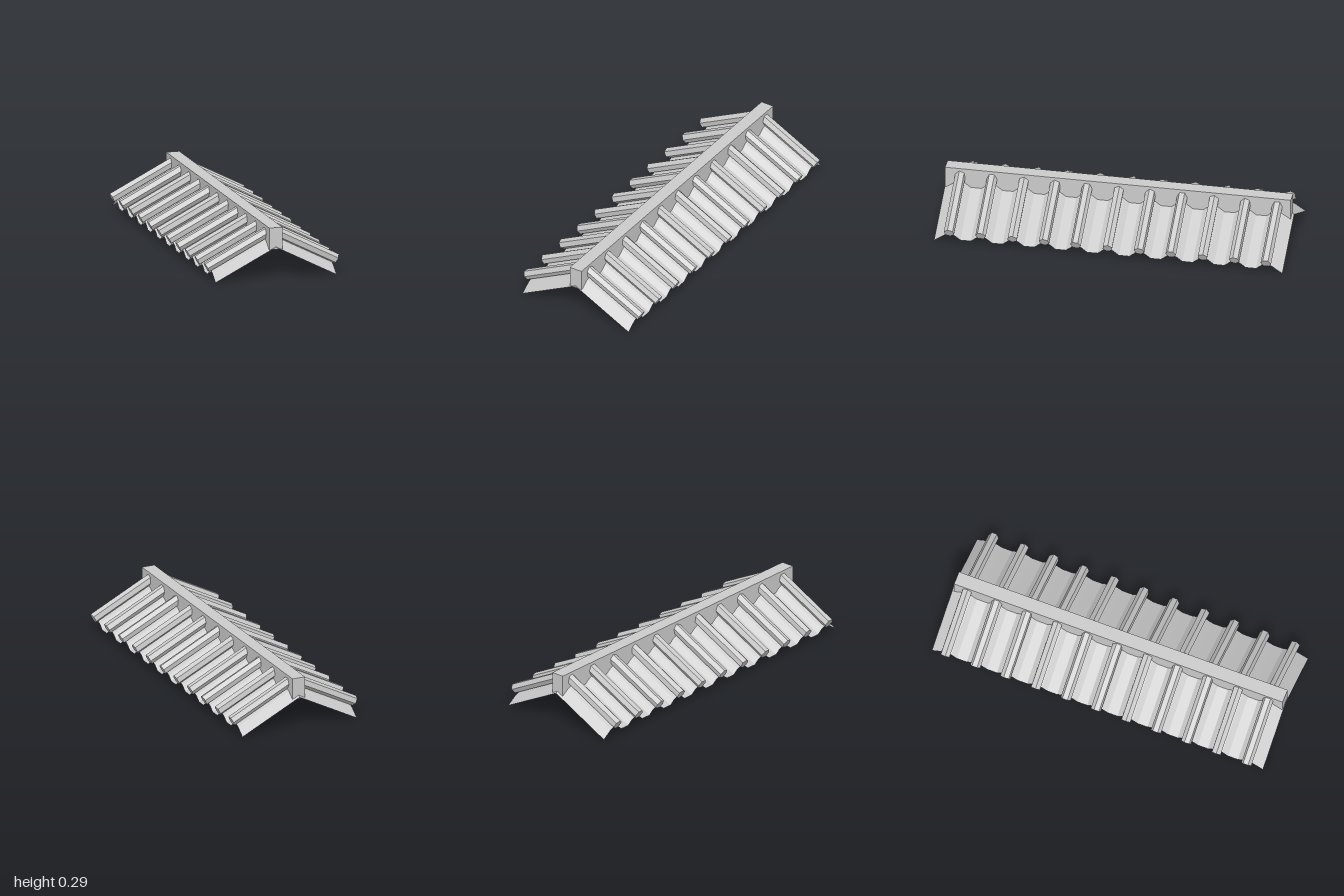
import * as THREE from 'three';

const PITCH = 0.182, RIBS = 11, SLOPE = 0.51, EAVE = 0.357;

export function createModel() {
  const roof = new THREE.Group();
  roof.name = 'tiledRoof';
  const mat = new THREE.MeshStandardMaterial({ color: 0xcccccc, flatShading: true });
  const sheetMat = mat.clone();
  sheetMat.side = THREE.DoubleSide;

  // Ridge beam
  const ridge = new THREE.Mesh(new THREE.BoxGeometry(0.078, 0.126, 1.985), mat);
  ridge.name = 'ridgeBeam';
  ridge.position.set(0, 0.236, 0.005);
  roof.add(ridge);

  // Corrugation profile [z, eave height]: crests under the ribs, flat troughs between
  const profile = [[-1, 0.004]];
  for (let i = 0; i < RIBS; i++) {
    const z = (i - (RIBS - 1) / 2) * PITCH;
    if (i > 0) profile.push([z - 0.061, 0.021]);
    profile.push([z - 0.028, 0.046], [z, 0.057], [z + 0.028, 0.046]);
    if (i < RIBS - 1) profile.push([z + 0.061, 0.021]);
  }
  profile.push([1, 0.004]);

  for (const side of [1, -1]) {
    const name = side > 0 ? 'left' : 'right';

    // Corrugated sheet running from ridge to eave
    const pos = [], index = [];
    profile.forEach(([z, y], i) => {
      pos.push(0, y + EAVE * SLOPE, z, side * EAVE, y, z);
      if (i === 0) return;
      const a = 2 * i - 2, b = a + 1, c = a + 2, d = a + 3;
      if (side > 0) index.push(a, c, b, b, c, d);
      else index.push(a, b, c, b, d, c);
    });
    const geo = new THREE.BufferGeometry();
    geo.setAttribute('position', new THREE.Float32BufferAttribute(pos, 3));
    geo.setIndex(index);
    geo.computeVertexNormals();
    const sheet = new THREE.Mesh(geo, sheetMat);
    sheet.name = name + 'Sheet';
    roof.add(sheet);

    // Ribs over each crest, every one rolled a little differently
    const top = new THREE.Vector3(side * 0.015, 0.263, 0);
    const end = new THREE.Vector3(side * 0.383, 0.075, 0);
    const dir = end.clone().sub(top);
    const length = dir.length();
    dir.normalize();
    for (let i = 0; i < RIBS; i++) {
      const rib = new THREE.Mesh(new THREE.CylinderGeometry(0.03, 0.03, length, 6), mat);
      rib.name = name + 'Rib' + (i + 1);
      rib.geometry.rotateY(i * 0.7 + (side > 0 ? 0 : 0.35));
      rib.quaternion.setFromUnitVectors(new THREE.Vector3(0, 1, 0), dir);
      rib.position.copy(top).add(end).multiplyScalar(0.5);
      rib.position.z = (i - (RIBS - 1) / 2) * PITCH;
      roof.add(rib);
    }
  }
  return roof;
}
